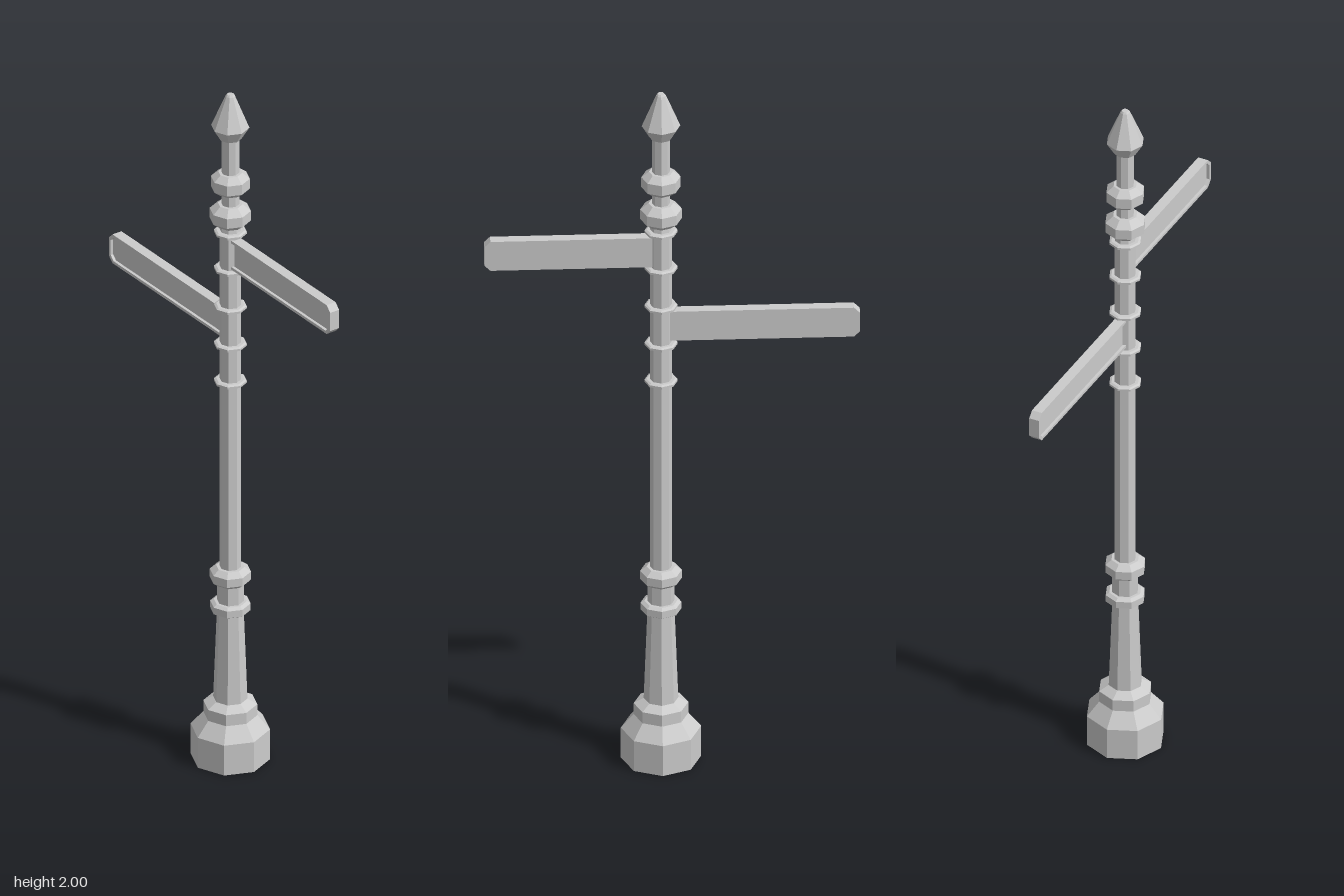
import * as THREE from 'three';

const POST_X = 0.028;
const grey = new THREE.MeshStandardMaterial({ color: 0xcccccc, flatShading: true });

// Eight-sided turned part on the post axis; profile is [radius, y] from bottom to top
function turned(name, profile) {
  const points = profile.map(([r, y]) => new THREE.Vector2(r, y));
  const mesh = new THREE.Mesh(new THREE.LatheGeometry(points, 8), grey);
  mesh.name = name;
  mesh.position.x = POST_X;
  return mesh;
}

// Collar with chamfered edges, closed into the post
function collar(name, y0, y1, r, inner, chamfer) {
  return turned(name, [[0, y0], [inner, y0], [r, y0 + chamfer], [r, y1 - chamfer], [inner, y1], [0, y1]]);
}

// Outline of a sign arm with chamfered outer corners
function armPoints(x0, x1, y0, y1, c, dir) {
  return [[x0, y0], [x1 - c, y0], [x1, y0 + c], [x1, y1 - c], [x1 - c, y1], [x0, y1]]
    .map(([x, y]) => new THREE.Vector2(x * dir, y));
}

// Sign arm: back plate plus a raised border on the front
function signArm(name, dir, x0, x1, y0, y1) {
  const group = new THREE.Group();
  group.name = name;
  const rim = 0.008;
  const outline = armPoints(x0, x1, y0, y1, 0.016, dir);
  const frame = new THREE.Shape(outline);
  frame.holes.push(new THREE.Path(armPoints(x0 + rim, x1 - rim, y0 + rim, y1 - rim, 0.013, dir).reverse()));
  const layers = [
    ['signPlate', new THREE.Shape(outline), -0.015, 0.021],
    ['signBorder', frame, 0.006, 0.008],
  ];
  for (const [part, shape, z, depth] of layers) {
    const mesh = new THREE.Mesh(new THREE.ExtrudeGeometry(shape, { depth, bevelEnabled: false }), grey);
    mesh.name = part;
    mesh.position.z = z;
    group.add(mesh);
  }
  return group;
}

export function createModel() {
  const model = new THREE.Group();
  model.name = 'signpost';

  // Foot, tapered lower column and main shaft
  model.add(turned('base', [
    [0, 0], [0.106, 0], [0.106, 0.09], [0.072, 0.13], [0.072, 0.163], [0.046, 0.178], [0, 0.178],
  ]));
  model.add(turned('lowerColumn', [[0.046, 0.17], [0.036, 0.44], [0.036, 0.55]]));
  model.add(turned('shaft', [[0.029, 0.55], [0.029, 1.59], [0.024, 1.62], [0.024, 1.88]]));

  // Collars on the lower column
  model.add(collar('lowerCollar', 0.44, 0.472, 0.054, 0.044, 0.006));
  model.add(collar('upperCollar', 0.525, 0.575, 0.055, 0.038, 0.013));

  // Thin bands around the shaft
  [1.135, 1.247, 1.36, 1.475, 1.585].forEach((y, i) => {
    model.add(collar(`band${i + 1}`, y - 0.006, y + 0.006, 0.044, 0.038, 0.003));
  });

  // Knobs and pointed finial
  model.add(collar('lowerKnob', 1.605, 1.67, 0.055, 0.033, 0.018));
  model.add(collar('upperKnob', 1.703, 1.765, 0.052, 0.032, 0.016));
  model.add(turned('finial', [[0, 1.868], [0.03, 1.868], [0.051, 1.903], [0.013, 1.995], [0.009, 2], [0, 2]]));

  // Two arms pointing opposite ways
  model.add(signArm('leftSign', 1, 0.04, 0.494, 1.485, 1.572));
  model.add(signArm('rightSign', -1, -0.016, 0.496, 1.262, 1.349));

  return model;
}
